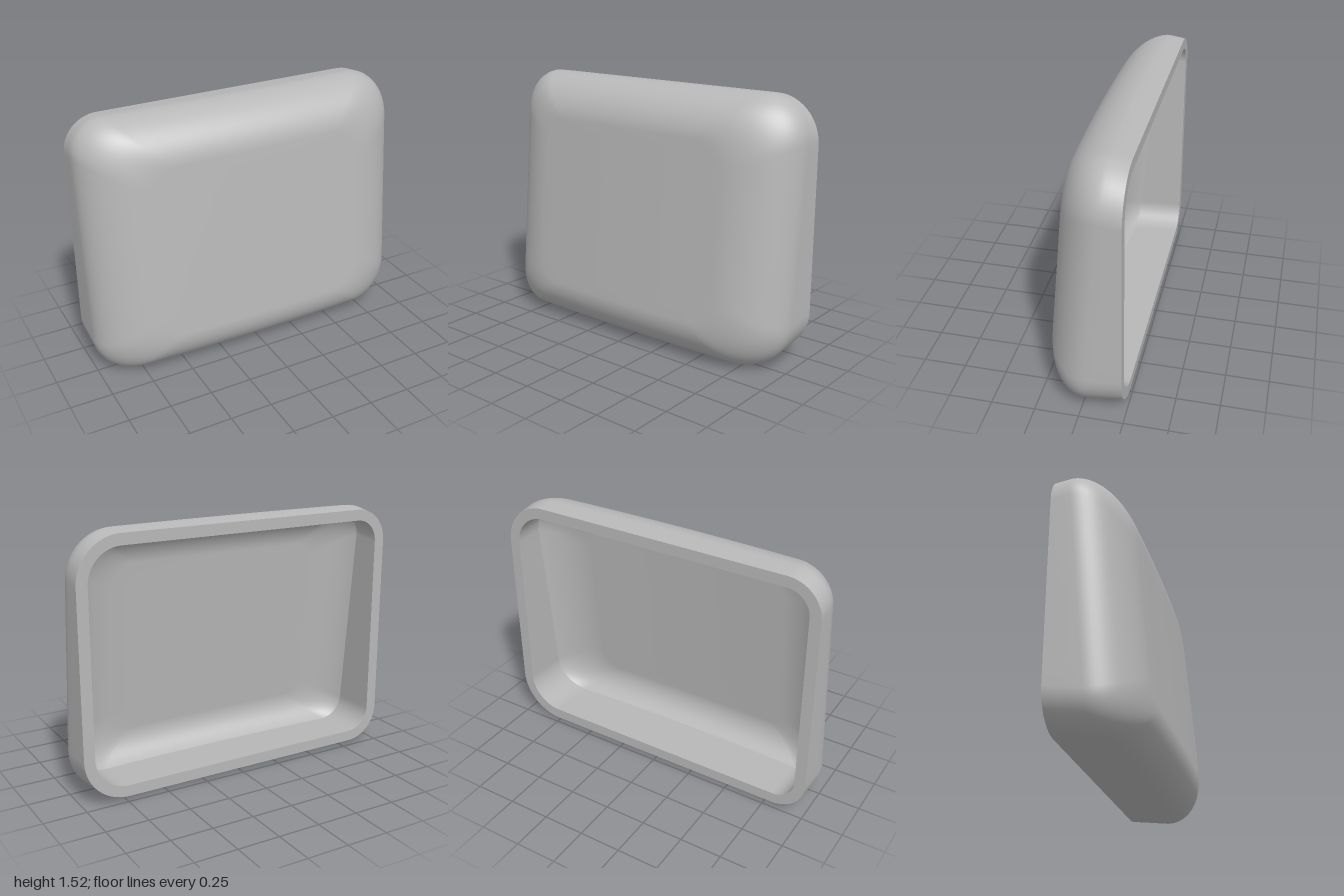
import * as THREE from 'three';

const MID = 0.76, BACK = -0.24, WALL = 0.065, ROUND = 0.25;

// Rounded rectangle, counter-clockwise from the lower +x corner.
function outline(inset, bottom, top) {
  const pts = [], steps = 14, edge = 14;
  const rBig = 0.26 - inset, rSmall = 0.2 - inset;
  const x = 1 - inset, b = bottom + inset, t = top - inset;
  const corners = [
    [x - rBig, b + rBig, rBig, -90], [x - rBig, t - rBig, rBig, 0],
    [-x + rSmall, t - rSmall, rSmall, 90], [-x + rSmall, b + rSmall, rSmall, 180],
  ];
  const at = ([cx, cy, r, start], k) => {
    const a = THREE.MathUtils.degToRad(start + 90 * k);
    return new THREE.Vector2(cx + r * Math.cos(a), cy + r * Math.sin(a));
  };
  corners.forEach((c, i) => {
    for (let k = 0; k <= steps; k++) pts.push(at(c, k / steps));
    const from = at(c, 1), to = at(corners[(i + 1) % 4], 0);
    for (let k = 1; k < edge; k++) pts.push(from.clone().lerp(to, k / edge));
  });
  return pts;
}

// Leaning, slightly crowned front face.
const faceZ = (x, y) => 0.265 - 0.09 * y - 0.03 * x * x;

// Outline shrunk towards the middle and laid under the front face.
function faceRing(pts, sx, sy, drop) {
  return pts.map((p) => {
    const x = p.x * sx, y = MID + (p.y - MID) * sy;
    return [x, y, faceZ(x, y) - drop];
  });
}

// Rounded shoulder followed by the flat middle, from edge to centre.
function domeRings(pts, insetX, insetY, depth, startAngle, offset) {
  const rings = [], steps = 18, flat = 8;
  for (let i = 0; i <= steps; i++) {
    const a = startAngle + (Math.PI / 2 - startAngle) * i / steps;
    const k = 1 - Math.cos(a) / Math.cos(startAngle);
    rings.push(faceRing(pts, 1 - insetX * k, 1 - insetY * k / MID, offset + depth * (1 - Math.sin(a))));
  }
  for (let i = 1; i <= flat; i++) {
    const k = 1 - i / flat;
    rings.push(faceRing(pts, (1 - insetX) * k, (1 - insetY / MID) * k, offset));
  }
  return rings;
}

// Closed bands between successive rings.
function loft(rings) {
  const n = rings[0].length, index = [];
  for (let i = 0; i < rings.length - 1; i++) {
    for (let j = 0; j < n; j++) {
      const k = (j + 1) % n;
      const a = i * n + j, b = i * n + k, c = a + n, d = b + n;
      index.push(a, b, d, a, d, c);
    }
  }
  const g = new THREE.BufferGeometry();
  g.setAttribute('position', new THREE.Float32BufferAttribute(rings.flat(2), 3));
  g.setIndex(index);
  g.computeVertexNormals();
  return g;
}

export function createModel() {
  const group = new THREE.Group();
  group.name = 'hollowCover';
  const grey = new THREE.MeshStandardMaterial({ color: 0xb8b8b8 });
  grey.name = 'plain grey';
  const add = (name, rings) => {
    const mesh = new THREE.Mesh(loft(rings), grey);
    mesh.name = name;
    group.add(mesh);
  };
  const flatRing = (pts) => pts.map((p) => [p.x, p.y, BACK]);

  const widest = outline(0, 0, 1.52);
  const backOuter = flatRing(outline(0, 0.028, 1.505));
  const backInner = flatRing(outline(WALL, 0.028, 1.505));

  // Drafted side wall running smoothly into the pillowed front
  const dome = domeRings(widest, 0.36, 0.25, ROUND, 0, 0);
  const side = [0, 0.33, 0.67].map((t) =>
    backOuter.map((p, j) => p.map((v, c) => v + (dome[0][j][c] - v) * t)));
  add('outerShell', [...side, ...dome]);

  // Flat rim around the open back
  add('backRim', [backInner, backOuter]);

  // Recess: straight wall meeting a dished floor at a crease
  const floor = domeRings(outline(WALL, 0.01, 1.515), 0.3, 0.2, 0.21, 0.45, WALL).reverse();
  add('recessFloor', floor);
  add('recessWall', [floor[floor.length - 1], backInner]);

  return group;
}
